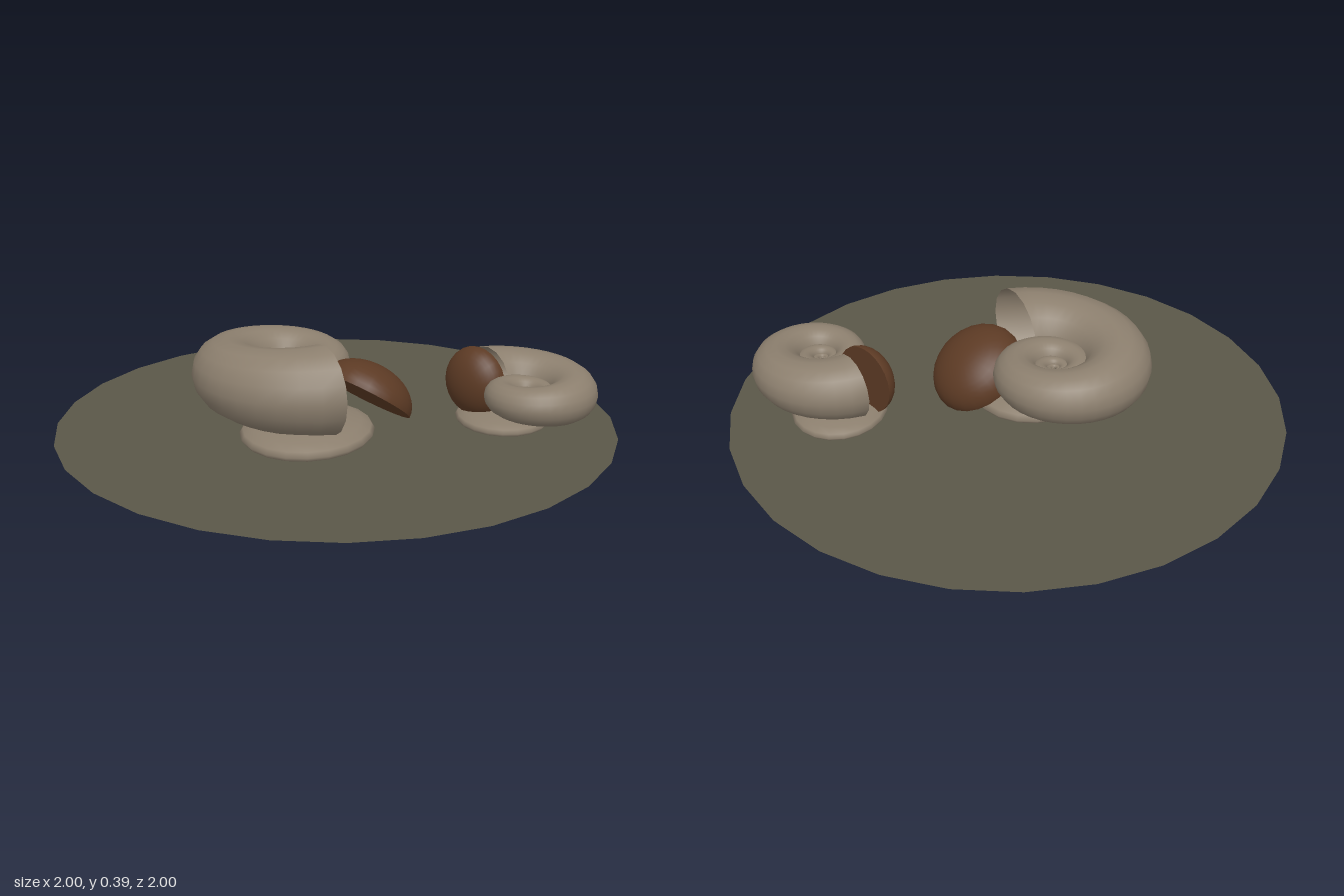
import * as THREE from 'three';

const shellMat = new THREE.MeshStandardMaterial({ name: 'warm grey shell', color: 0x8c7f6e, side: THREE.DoubleSide });
const lidMat = new THREE.MeshStandardMaterial({ name: 'dark brown lid', color: 0x5c3a24 });
const groundMat = new THREE.MeshStandardMaterial({ name: 'olive ground', color: 0x5a5748, side: THREE.DoubleSide });

const START = 0.25; // angle of the shell mouth
const DECAY = 0.149; // shrink per radian

function add(group, name, geometry, material) {
  const mesh = new THREE.Mesh(geometry, material);
  mesh.name = name;
  group.add(mesh);
  return mesh;
}

// Open tube that winds inwards as a logarithmic spiral
function spiralShell() {
  const turns = 4, perTurn = 36, sides = 16;
  const rings = turns * perTurn;
  const positions = [], index = [];
  for (let i = 0; i <= rings; i++) {
    const t = (i / perTurn) * Math.PI * 2;
    const a = START + t;
    const s = Math.exp(-DECAY * t);
    for (let j = 0; j < sides; j++) {
      const phi = (j / sides) * Math.PI * 2;
      const r = s * (0.301 + 0.165 * Math.cos(phi));
      positions.push(r * Math.cos(a), 0.19 + s * 0.158 * Math.sin(phi), r * Math.sin(a));
      if (i < rings) {
        const k = (j + 1) % sides, p = i * sides, q = p + sides;
        index.push(p + j, p + k, q + j, p + k, q + k, q + j);
      }
    }
  }
  const geometry = new THREE.BufferGeometry();
  geometry.setAttribute('position', new THREE.Float32BufferAttribute(positions, 3));
  geometry.setIndex(index);
  geometry.computeVertexNormals();
  return geometry;
}

// Domed lid with a flat inner face
function createLid(position, tilt) {
  const lid = new THREE.Group();
  lid.name = 'lid';
  add(lid, 'lidDome', new THREE.SphereGeometry(1, 24, 10, 0, Math.PI * 2, 0, Math.PI / 2), lidMat);
  add(lid, 'lidInnerFace', new THREE.CircleGeometry(1, 24).rotateX(Math.PI / 2), lidMat);
  lid.scale.set(0.17, 0.12, 0.177);
  lid.position.set(...position);
  lid.rotation.x = tilt;
  return lid;
}

function createSnail(name, lidPosition, lidTilt) {
  const snail = new THREE.Group();
  snail.name = name;
  add(snail, 'shell', spiralShell(), shellMat);

  // Flattened foot, sunk partly into the ground
  const foot = add(snail, 'foot', new THREE.SphereGeometry(1, 20, 10), shellMat);
  foot.scale.set(0.27, 0.055, 0.235);
  foot.position.set(0.19, 0.015, 0.075);
  foot.rotation.y = -0.96;

  snail.add(createLid(lidPosition, lidTilt));
  return snail;
}

export function createModel() {
  const model = new THREE.Group();
  model.name = 'snailsOnGround';

  const ground = add(model, 'ground', new THREE.CircleGeometry(1, 28).rotateX(-Math.PI / 2), groundMat);
  ground.position.y = 0.04;

  // Large snail with its lid swung open
  const large = createSnail('largeSnail', [0.27, 0.117, -0.127], -0.625);
  large.position.set(-0.15, 0.04, 0.09);

  // Small snail, turned about, with its lid closed
  const small = createSnail('smallSnail', [0.3, 0.19, 0], -Math.PI / 2);
  small.position.set(0.52, 0.04, -0.44);
  small.rotation.y = THREE.MathUtils.degToRad(-172);
  small.scale.setScalar(0.73);

  model.add(large, small);
  return model;
}
